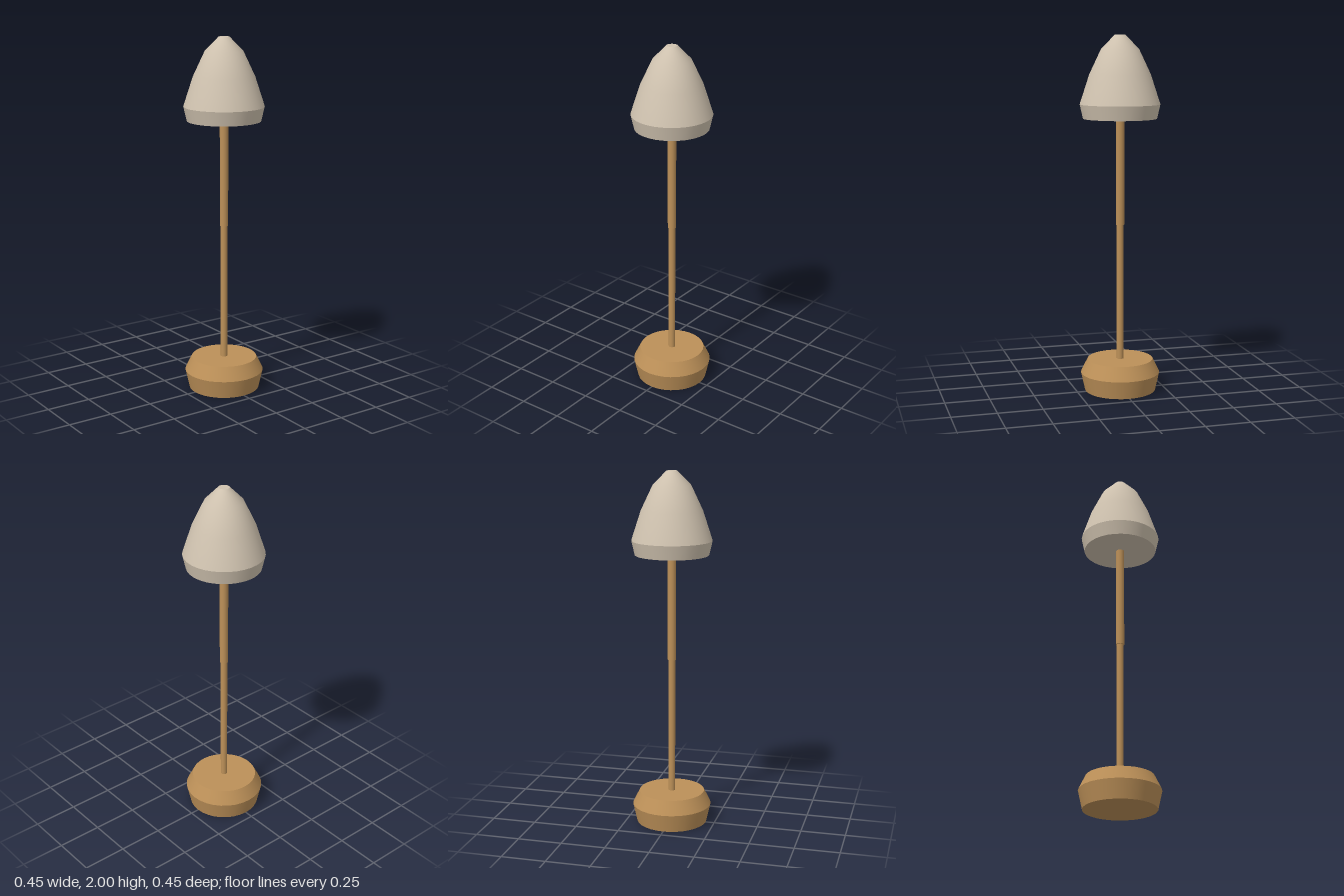
import * as THREE from 'three';

const SIDES = 32;

export function createModel() {
  const brass = new THREE.MeshStandardMaterial({ color: 0xbc9058 });
  brass.name = 'brass';
  const cream = new THREE.MeshStandardMaterial({ color: 0xcfc2af });
  cream.name = 'cream';

  const lamp = new THREE.Group();
  lamp.name = 'tableLamp';

  const add = (name, geometry, material, y = 0, parent = lamp) => {
    const mesh = new THREE.Mesh(geometry, material);
    mesh.name = name;
    mesh.position.y = y;
    parent.add(mesh);
    return mesh;
  };

  // Smooth surface of revolution from [radius, height] points, bottom to top
  const turned = (points) =>
    new THREE.LatheGeometry(points.map(([r, y]) => new THREE.Vector2(r, y)), SIDES);

  // Flat disc facing up (1) or down (-1)
  const disc = (radius, facing) =>
    new THREE.CircleGeometry(radius, SIDES).rotateX(-facing * Math.PI / 2);

  const group = (name) => {
    const g = new THREE.Group();
    g.name = name;
    lamp.add(g);
    return g;
  };

  // Base: flared foot with a bevelled top, sharp edge between
  const base = group('base');
  add('baseUnderside', disc(0.2, -1), brass, 0, base);
  add('baseFoot', turned([[0.2, 0], [0.223, 0.103]]), brass, 0, base);
  add('baseBevel', turned([[0.223, 0.103], [0.185, 0.18]]), brass, 0, base);
  add('baseTop', disc(0.185, 1), brass, 0.18, base);

  // Pole: slim lower rod inside a slightly wider upper sleeve
  add('lowerPole', new THREE.CylinderGeometry(0.019, 0.019, 0.8, 20), brass, 0.57);
  add('upperPole', new THREE.CylinderGeometry(0.0235, 0.0235, 0.61, 20), brass, 1.255);

  // Shade: tapered rim below a smooth rounded cone, closed at both ends
  const shade = group('shade');
  add('shadeUnderside', disc(0.205, -1), cream, 1.543, shade);
  add('shadeRim', turned([[0.205, 1.543], [0.223, 1.622]]), cream, 0, shade);
  add('shadeDome', turned([[0.223, 1.622], [0.17, 1.785], [0.105, 1.923], [0.03, 2]]), cream, 0, shade);
  add('shadeCap', disc(0.03, 1), cream, 2, shade);

  return lamp;
}
